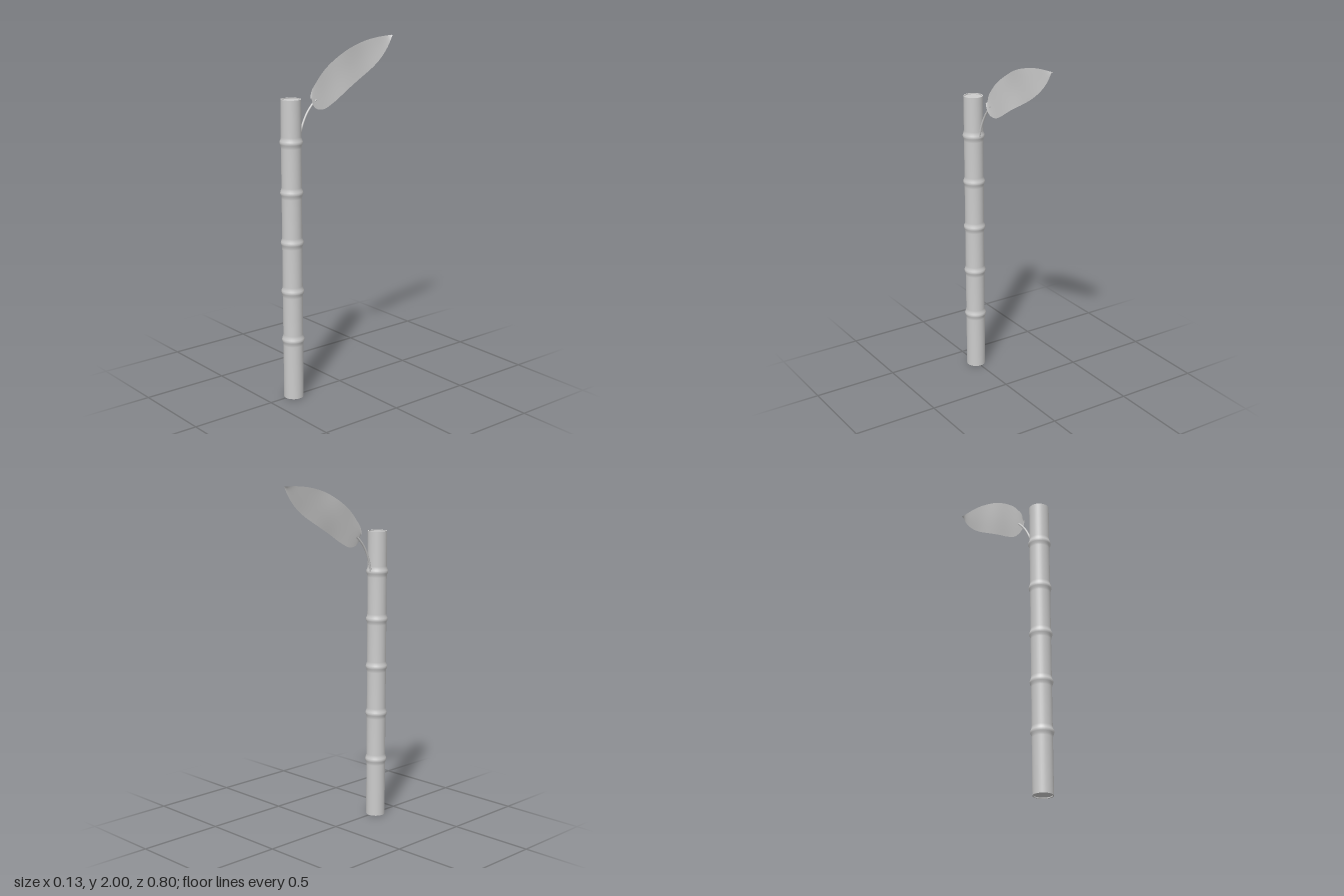
import * as THREE from 'three';

const material = new THREE.MeshStandardMaterial({ color: 0xcccccc, side: THREE.DoubleSide });
const STALK_Z = 0.338, RADIUS = 0.056, HEIGHT = 1.71;
const NODES = [0.345, 0.63, 0.912, 1.195, 1.475];

function addMesh(parent, name, geometry) {
  const mesh = new THREE.Mesh(geometry, material);
  mesh.name = name;
  parent.add(mesh);
  return mesh;
}

// Surface swept between the lower and upper edge of the leaf, slightly rippled
function leafGeometry() {
  const edge = pts => new THREE.CatmullRomCurve3(pts.map(([z, y]) => new THREE.Vector3(0, y, z)));
  const upper = edge([[0.2, 1.70], [0.19, 1.74], [0.164, 1.775], [0.11, 1.833], [0.03, 1.89],
    [-0.074, 1.945], [-0.18, 1.977], [-0.286, 1.994], [-0.4, 2.0]]);
  const lower = edge([[0.2, 1.70], [0.19, 1.664], [0.164, 1.638], [0.11, 1.632], [0.048, 1.659],
    [-0.048, 1.717], [-0.153, 1.775], [-0.243, 1.828], [-0.312, 1.881], [-0.365, 1.94], [-0.4, 2.0]]);
  const rows = 40, cols = 8;
  const geo = new THREE.PlaneGeometry(1, 1, cols, rows);
  const pos = geo.attributes.position;
  for (let i = 0; i <= rows; i++) {
    const t = i / rows, a = lower.getPointAt(t), b = upper.getPointAt(t);
    for (let j = 0; j <= cols; j++) {
      const s = j / cols, p = a.clone().lerp(b, s);
      const lean = -0.002 - 0.018 * Math.pow(t, 1.3);
      const twist = (0.5 - s) * 0.012;
      const ripple = 0.003 * Math.sin(t * 14) * (2 * s - 1) * Math.sin(Math.PI * t);
      const fold = -0.003 * Math.sin(Math.PI * s) * Math.sin(Math.PI * t);
      pos.setXYZ(i * (cols + 1) + j, p.x + lean + twist + ripple + fold, p.y, p.z);
    }
  }
  geo.computeVertexNormals();
  return geo;
}

export function createModel() {
  const model = new THREE.Group();
  model.name = 'bambooStalk';

  // Stalk segments, with a rounded swelling at every node
  const stalk = new THREE.Group();
  stalk.name = 'stalk';
  stalk.position.z = STALK_Z;
  model.add(stalk);
  const profile = [[RADIUS, 0]];
  for (const y of NODES) {
    profile.push([RADIUS, y - 0.032], [RADIUS + 0.002, y - 0.018], [RADIUS + 0.006, y - 0.009],
      [RADIUS + 0.008, y], [RADIUS + 0.006, y + 0.009], [RADIUS + 0.002, y + 0.018], [RADIUS, y + 0.032]);
  }
  profile.push([RADIUS, HEIGHT]);
  addMesh(stalk, 'cane', new THREE.LatheGeometry(profile.map(p => new THREE.Vector2(...p)), 32));

  // Cut ends: a narrow rim around a slightly sunken disc
  for (const [name, y, dir] of [['topCut', HEIGHT, 1], ['bottomCut', 0, -1]]) {
    const cut = new THREE.Group();
    cut.name = name;
    cut.position.y = y;
    cut.rotation.x = -dir * Math.PI / 2;
    stalk.add(cut);
    addMesh(cut, 'rim', new THREE.RingGeometry(0.05, RADIUS, 32));
    addMesh(cut, 'core', new THREE.CircleGeometry(0.05, 32)).position.z = -0.006;
    const wall = addMesh(cut, 'innerWall', new THREE.CylinderGeometry(0.05, 0.05, 0.006, 32, 1, true));
    wall.rotation.x = Math.PI / 2;
    wall.position.z = -0.003;
  }

  // Leaf stem, growing out just below the top node
  const stemPath = new THREE.CatmullRomCurve3([[-0.002, 1.45, 0.287], [-0.005, 1.54, 0.264],
    [-0.008, 1.616, 0.226], [-0.008, 1.664, 0.187], [-0.006, 1.69, 0.16]].map(p => new THREE.Vector3(...p)));
  addMesh(model, 'leafStem', new THREE.TubeGeometry(stemPath, 20, 0.006, 8));

  addMesh(model, 'leaf', leafGeometry());
  return model;
}
